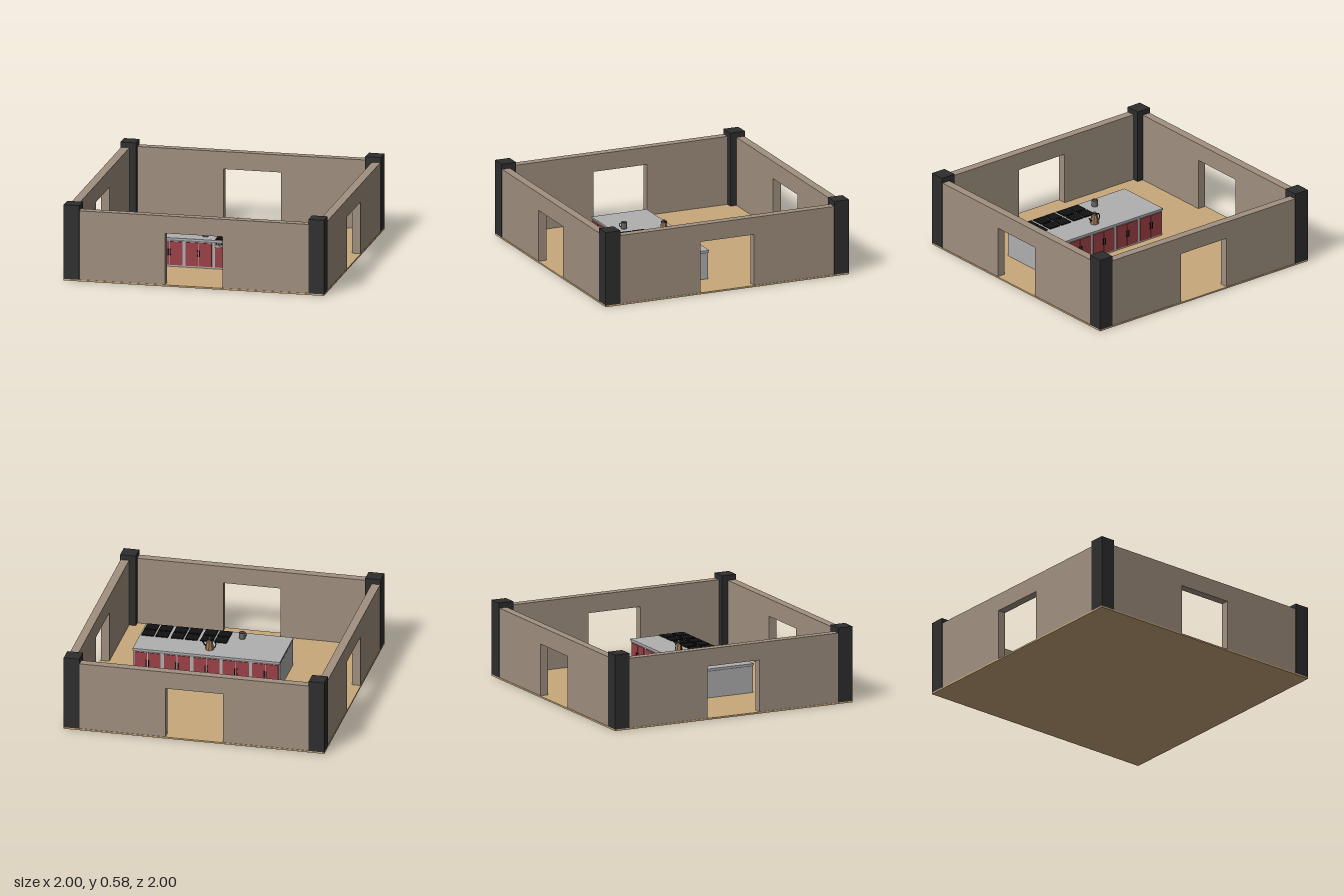
import * as THREE from 'three';

const mat = (color, extra = {}) => new THREE.MeshStandardMaterial({ color, ...extra });
const M = {
  wall: mat(0xa09080), floor: mat(0xc8a87a), pillar: mat(0x2e2e2e),
  steel: mat(0xb0b0b0), darkSteel: mat(0x777777), red: mat(0x9c4046),
  black: mat(0x111111), bronze: mat(0x9a7554, { flatShading: true }),
  mug: mat(0x666666, { side: THREE.DoubleSide }), coffee: mat(0x704a40),
};

function add(parent, name, geometry, material, x = 0, y = 0, z = 0) {
  const mesh = new THREE.Mesh(geometry, material);
  mesh.name = name;
  mesh.position.set(x, y, z);
  parent.add(mesh);
  return mesh;
}

// Box given by its minimum and maximum corners
function box(parent, name, material, [x0, y0, z0], [x1, y1, z1]) {
  return add(parent, name, new THREE.BoxGeometry(x1 - x0, y1 - y0, z1 - z0), material,
    (x0 + x1) / 2, (y0 + y1) / 2, (z0 + z1) / 2);
}

function tube(parent, name, material, points, radius) {
  const curve = new THREE.CatmullRomCurve3(points.map(p => new THREE.Vector3(...p)));
  return add(parent, name, new THREE.TubeGeometry(curve, 12, radius, 6), material);
}

function subgroup(parent, name, x = 0, y = 0, z = 0) {
  const g = new THREE.Group();
  g.name = name;
  g.position.set(x, y, z);
  parent.add(g);
  return g;
}

const FLOOR = 0.012, UNIT = 0.226, LEFT = -0.425, TOP = 0.235;

function buildRoom(root) {
  box(root, 'floor', M.floor, [-1, 0, -1], [1, FLOOR, 1]);
  // Wall outline with a doorway notch
  const s = new THREE.Shape();
  [[-0.88, FLOOR], [-0.22, FLOOR], [-0.22, 0.41], [0.22, 0.41], [0.22, FLOOR],
    [0.88, FLOOR], [0.88, 0.545], [-0.88, 0.545]]
    .forEach(([x, y], i) => (i ? s.lineTo(x, y) : s.moveTo(x, y)));
  const wallGeo = new THREE.ExtrudeGeometry(s, { depth: 0.065, bevelEnabled: false });
  wallGeo.translate(0, 0, 0.931);
  ['frontWall', 'leftWall', 'backWall', 'rightWall'].forEach((name, i) => {
    add(root, name, wallGeo, M.wall).rotation.y = i * Math.PI / 2;
  });
  for (const x of [-0.94, 0.94]) for (const z of [-0.94, 0.94])
    box(root, 'cornerPillar', M.pillar, [x - 0.06, FLOOR, z - 0.06], [x + 0.06, 0.585, z + 0.06]);
}

// Pair of red doors with upright handles; side is +1 at the front, -1 at the back
function doorPair(parent, cx, z, side) {
  const g = subgroup(parent, 'doorPair', cx, 0, z);
  if (side < 0) g.rotation.y = Math.PI;
  for (const d of [-1, 1]) {
    const xs = [d * 0.003, d * 0.1].sort((a, b) => a - b);
    box(g, 'door', M.red, [xs[0], 0.025, -0.002], [xs[1], 0.207, 0.005]);
    const hx = d * 0.009;
    box(g, 'doorHandle', M.black, [hx - 0.003, 0.1, 0.01], [hx + 0.003, 0.152, 0.014]);
    for (const y of [0.106, 0.146])
      box(g, 'handleMount', M.black, [hx - 0.003, y - 0.003, 0.004], [hx + 0.003, y + 0.003, 0.012]);
  }
}

// Cooker: control panel, oven door and four hot plates
function cooker(parent, cx) {
  const g = subgroup(parent, 'cooker', cx, 0, 0);
  box(g, 'controlPanel', M.darkSteel, [-0.105, 0.19, 0.455], [0.105, 0.228, 0.468]);
  box(g, 'panelTrim', M.steel, [-0.105, 0.185, 0.455], [0.105, 0.192, 0.471]);
  for (const x of [-0.09, -0.07, -0.05, 0.05, 0.07, 0.09])
    add(g, 'knob', new THREE.CylinderGeometry(0.006, 0.006, 0.008, 10), M.black, x, 0.208, 0.47).rotation.x = Math.PI / 2;
  box(g, 'ovenDoor', M.red, [-0.1, 0.025, 0.455], [0.1, 0.18, 0.467]);
  box(g, 'ovenHandle', M.black, [-0.035, 0.163, 0.478], [0.035, 0.17, 0.484]);
  for (const x of [-0.032, 0.032])
    box(g, 'ovenHandleMount', M.black, [x - 0.003, 0.163, 0.466], [x + 0.003, 0.17, 0.48]);
  for (const x of [-0.054, 0.054]) for (const z of [0.3, 0.408])
    box(g, 'hotPlate', M.black, [x - 0.047, TOP - 0.002, z - 0.047], [x + 0.047, 0.243, z + 0.047]);
}

function buildIsland(root) {
  const g = subgroup(root, 'kitchenIsland');
  const right = LEFT + 5 * UNIT;
  box(g, 'cabinetBody', M.steel, [LEFT + 0.002, FLOOR, 0.024], [right - 0.002, 0.214, 0.461]);
  box(g, 'counterUnderside', M.darkSteel, [LEFT + 0.003, 0.212, 0.02], [right - 0.003, 0.224, 0.465]);
  box(g, 'countertop', M.steel, [LEFT, 0.222, 0.015], [right, TOP, 0.47]);
  for (let i = 0; i < 5; i++) {
    const cx = LEFT + UNIT * (i + 0.5);
    doorPair(g, cx, 0.023, -1);
    if (i < 2) doorPair(g, cx, 0.462, 1);
    else cooker(g, cx);
  }
}

function buildKettle(root) {
  const g = subgroup(root, 'kettle', 0.14, TOP, 0.13);
  const profile = [[0, 0], [0.032, 0], [0.033, 0.006], [0.022, 0.078], [0, 0.082]];
  add(g, 'kettleBody', new THREE.LatheGeometry(profile.map(p => new THREE.Vector2(...p)), 8), M.bronze);
  add(g, 'kettleLid', new THREE.CylinderGeometry(0.018, 0.025, 0.008, 8), M.black, 0, 0.08, 0);
  add(g, 'lidKnob', new THREE.SphereGeometry(0.009, 8, 6), M.bronze, 0, 0.088, 0);
  tube(g, 'spout', M.black, [[0.024, 0.025, 0], [0.04, 0.035, 0], [0.048, 0.052, 0], [0.058, 0.058, 0]], 0.005);
  tube(g, 'kettleHandle', M.black,
    [[-0.02, 0.073, 0], [-0.038, 0.07, 0], [-0.047, 0.045, 0], [-0.04, 0.02, 0], [-0.027, 0.02, 0]], 0.004);
}

function buildMug(root) {
  const g = subgroup(root, 'mug', -0.055, TOP, 0.37);
  const profile = [[0, 0], [0.022, 0], [0.024, 0.004], [0.024, 0.05], [0.021, 0.05], [0.021, 0.042]];
  add(g, 'cup', new THREE.LatheGeometry(profile.map(p => new THREE.Vector2(...p)), 20), M.mug);
  add(g, 'drink', new THREE.CylinderGeometry(0.021, 0.021, 0.002, 20), M.coffee, 0, 0.044, 0);
  const handle = add(g, 'mugHandle', new THREE.TorusGeometry(0.013, 0.003, 6, 16), M.mug, -0.017, 0.025, 0.017);
  handle.rotation.y = Math.PI / 4;
}

export function createModel() {
  const root = new THREE.Group();
  root.name = 'kitchenRoom';
  buildRoom(root);
  buildIsland(root);
  buildKettle(root);
  buildMug(root);
  return root;
}
